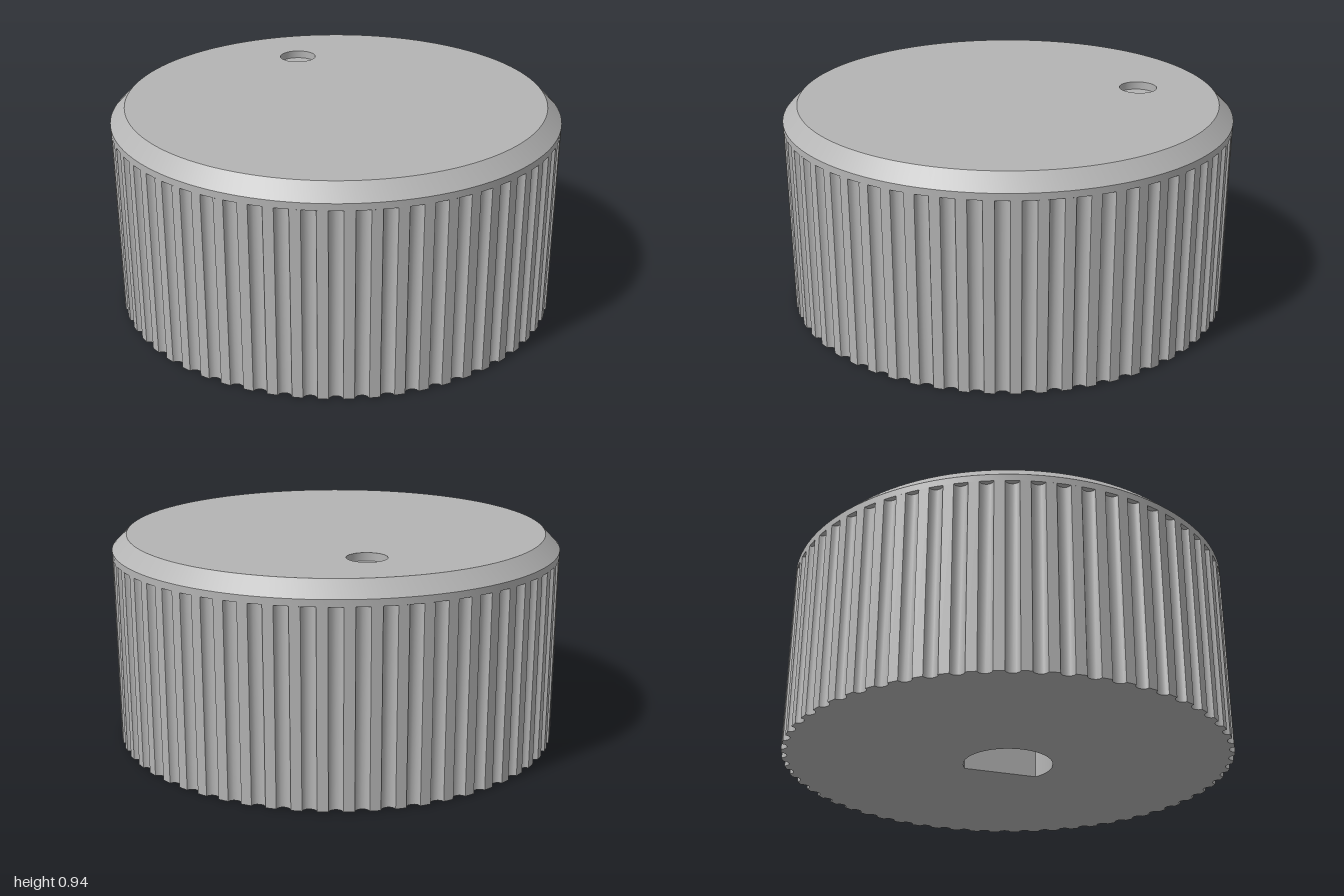
import * as THREE from 'three';
import { toCreasedNormals } from 'three/addons/utils/BufferGeometryUtils.js';

const CREASE = 0.6;

// Points of a circle (or arc) in the ground plane
function arc(cx, cy, r, from, to, steps) {
  return Array.from({ length: steps + 1 }, (_, i) => {
    const a = from + ((to - from) * i) / steps;
    return new THREE.Vector2(cx + r * Math.cos(a), cy + r * Math.sin(a));
  });
}
const circle = (cx, cy, r, n) => arc(cx, cy, r, 0, Math.PI * 2, n).slice(0, n);

// Outline of the grip: a circle with rounded grooves cut into it
function grooveOutline(count, halfWidth, depth) {
  const pts = [];
  for (let i = 0; i < count; i++) {
    const mid = (i / count) * Math.PI * 2;
    for (let k = 0; k <= 6; k++) {
      const s = (k / 6) * Math.PI;
      const a = mid - halfWidth * Math.cos(s);
      const r = 1 - depth * Math.sin(s);
      pts.push(new THREE.Vector2(r * Math.cos(a), r * Math.sin(a)));
    }
  }
  return pts;
}

// Upright wall around a closed outline, facing outward or inward
function wall(outline, y0, y1, inward = false) {
  const pos = [];
  outline.forEach((p, i) => {
    const q = outline[(i + 1) % outline.length];
    const [a, b] = inward ? [q, p] : [p, q];
    const a0 = [a.x, y0, -a.y], b0 = [b.x, y0, -b.y];
    const a1 = [a.x, y1, -a.y], b1 = [b.x, y1, -b.y];
    pos.push(...a0, ...b0, ...b1, ...a0, ...b1, ...a1);
  });
  const g = new THREE.BufferGeometry();
  g.setAttribute('position', new THREE.Float32BufferAttribute(pos, 3));
  return toCreasedNormals(g, CREASE);
}

// Flat face at height y, with optional hole; facing down mirrors the outline in z
function face(outline, y, up, hole) {
  const shape = new THREE.Shape(outline);
  if (hole) shape.holes.push(new THREE.Path(hole));
  const g = new THREE.ShapeGeometry(shape);
  g.rotateX(up ? -Math.PI / 2 : Math.PI / 2);
  return g.translate(0, y, 0);
}

export function createModel() {
  const group = new THREE.Group();
  const grey = new THREE.MeshStandardMaterial({ color: 0xb4b4b4 });
  grey.name = 'grey';
  const add = (name, geometry) => {
    const mesh = new THREE.Mesh(geometry, grey);
    mesh.name = name;
    group.add(mesh);
  };

  const gripTop = 0.84, top = 0.935, topRadius = 0.935;
  const boreTop = 0.6, dimpleFloor = 0.9;

  // Grooved grip and D-shaped shaft bore, flat side toward +x
  const grip = grooveOutline(60, 0.03, 0.025);
  const flat = Math.acos(0.105 / 0.2);
  const bore = arc(0, 0, 0.2, flat, Math.PI * 2 - flat, 48);
  add('grip', wall(grip, 0, gripTop));
  add('base', face(grip, 0, false, bore));
  add('boreWall', wall(bore, 0, boreTop, true));
  add('boreEnd', face(bore, boreTop, false));

  // Overhanging rim with a bevelled edge
  const profile = [[0.95, gripTop], [1, gripTop], [1, 0.87], [topRadius, top]];
  const rim = new THREE.LatheGeometry(profile.map(([x, y]) => new THREE.Vector2(x, y)), 128);
  add('rim', toCreasedNormals(rim, CREASE));

  // Top face with a shallow round pointer dimple toward the back
  const dimple = circle(0, 0.605, 0.085, 40);
  add('topFace', face(circle(0, 0, topRadius, 128), top, true, dimple));
  add('dimpleWall', wall(dimple, dimpleFloor, top, true));
  add('dimpleFloor', face(dimple, dimpleFloor, true));

  return group;
}
